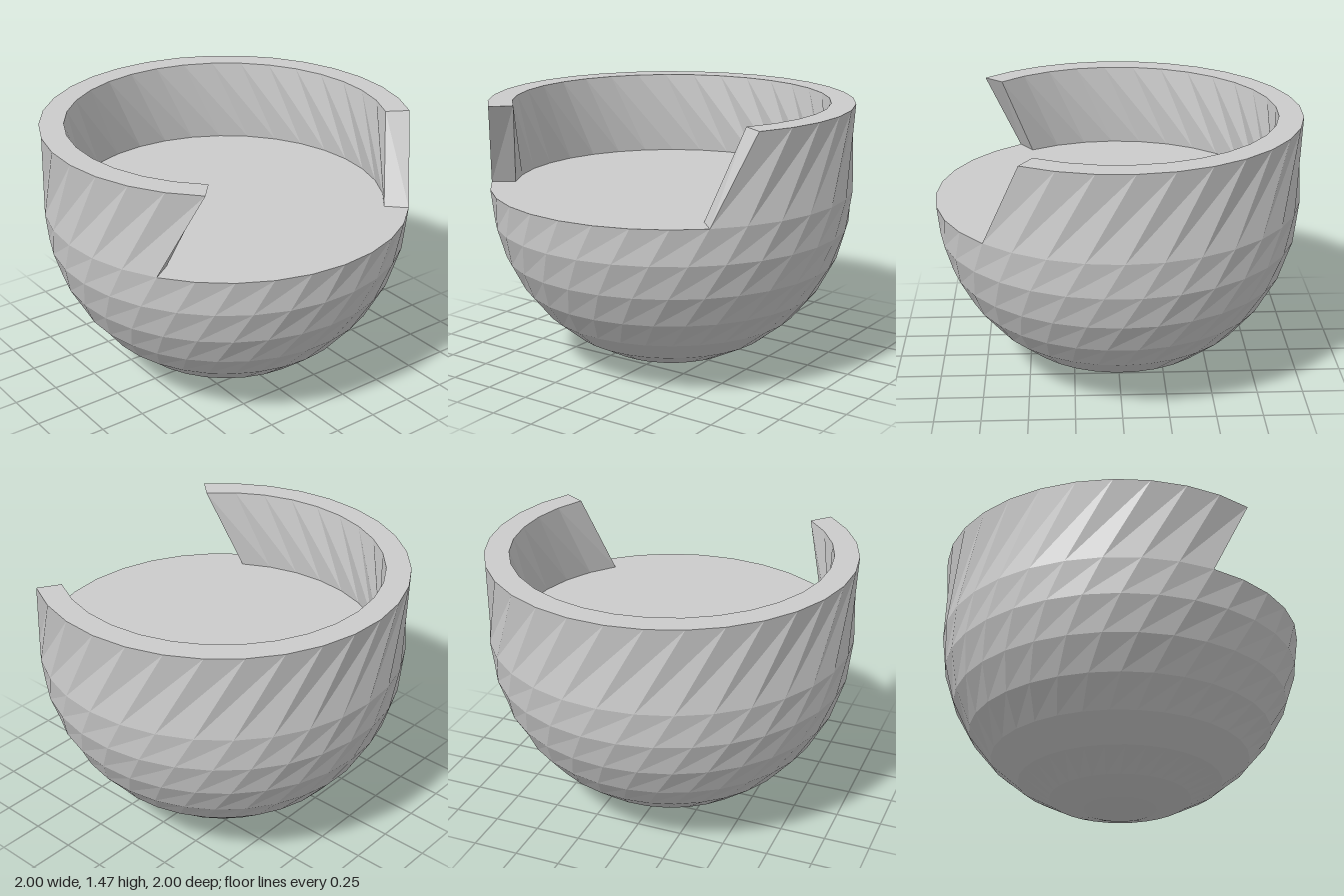
import * as THREE from 'three';

const SEGMENTS = 32;
const STEP = (Math.PI * 2) / SEGMENTS;
const RIM_Y = 1;
const TOP_Y = 1.466;
const TWIST = Math.PI / 4 / TOP_Y; // 45 degrees over the whole height

// Point of a profile [radius, y] on meridian j, twisted about the y axis
function twisted([r, y], j) {
  const angle = j * STEP - TWIST * (y - RIM_Y);
  return [r * Math.cos(angle), y, r * Math.sin(angle)];
}

// Sweeps a profile around the axis from meridian j0 to j1
function sweep(profile, j0, j1, capped = false) {
  const positions = [];
  const triangle = (a, b, c) => positions.push(...a, ...b, ...c);
  for (let i = 0; i < profile.length - 1; i++) {
    const p = profile[i], q = profile[i + 1];
    for (let j = j0; j < j1; j++) {
      const a = twisted(p, j), b = twisted(p, j + 1);
      const c = twisted(q, j + 1), d = twisted(q, j);
      if (p[0] === 0) triangle(a, d, c);
      else if (q[0] === 0) triangle(a, d, b);
      else if (q[1] >= p[1]) {
        triangle(a, d, b);
        triangle(b, d, c);
      } else {
        triangle(a, d, c);
        triangle(a, c, b);
      }
    }
  }
  // Flat ends for an open four-point section
  if (capped) {
    const s = profile.map((p) => twisted(p, j0));
    triangle(s[0], s[3], s[2]);
    triangle(s[0], s[2], s[1]);
    const e = profile.map((p) => twisted(p, j1));
    triangle(e[0], e[1], e[2]);
    triangle(e[0], e[2], e[3]);
  }
  const geometry = new THREE.BufferGeometry();
  geometry.setAttribute('position', new THREE.Float32BufferAttribute(positions, 3));
  geometry.computeVertexNormals();
  return geometry;
}

export function createModel() {
  const group = new THREE.Group();
  group.name = 'twistedBowl';
  const material = new THREE.MeshStandardMaterial({ color: 0xcccccc, flatShading: true });
  const add = (name, geometry) => {
    const mesh = new THREE.Mesh(geometry, material);
    mesh.name = name;
    group.add(mesh);
  };

  // Solid half sphere, closed by a flat floor at the rim
  const rings = 8;
  const base = [[0, 0]];
  for (let i = 1; i <= rings; i++) {
    const phi = (i / rings) * Math.PI / 2;
    base.push([Math.sin(phi), RIM_Y - Math.cos(phi)]);
  }
  base.push([0, RIM_Y]);
  add('base', sweep(base, 0, SEGMENTS));

  // Thick wall with a slanted opening at the front
  const inner = 0.867;
  const wall = [[1, RIM_Y], [1, TOP_Y], [inner, TOP_Y], [inner, RIM_Y]];
  add('wall', sweep(wall, 13, SEGMENTS + 4, true));

  return group;
}
